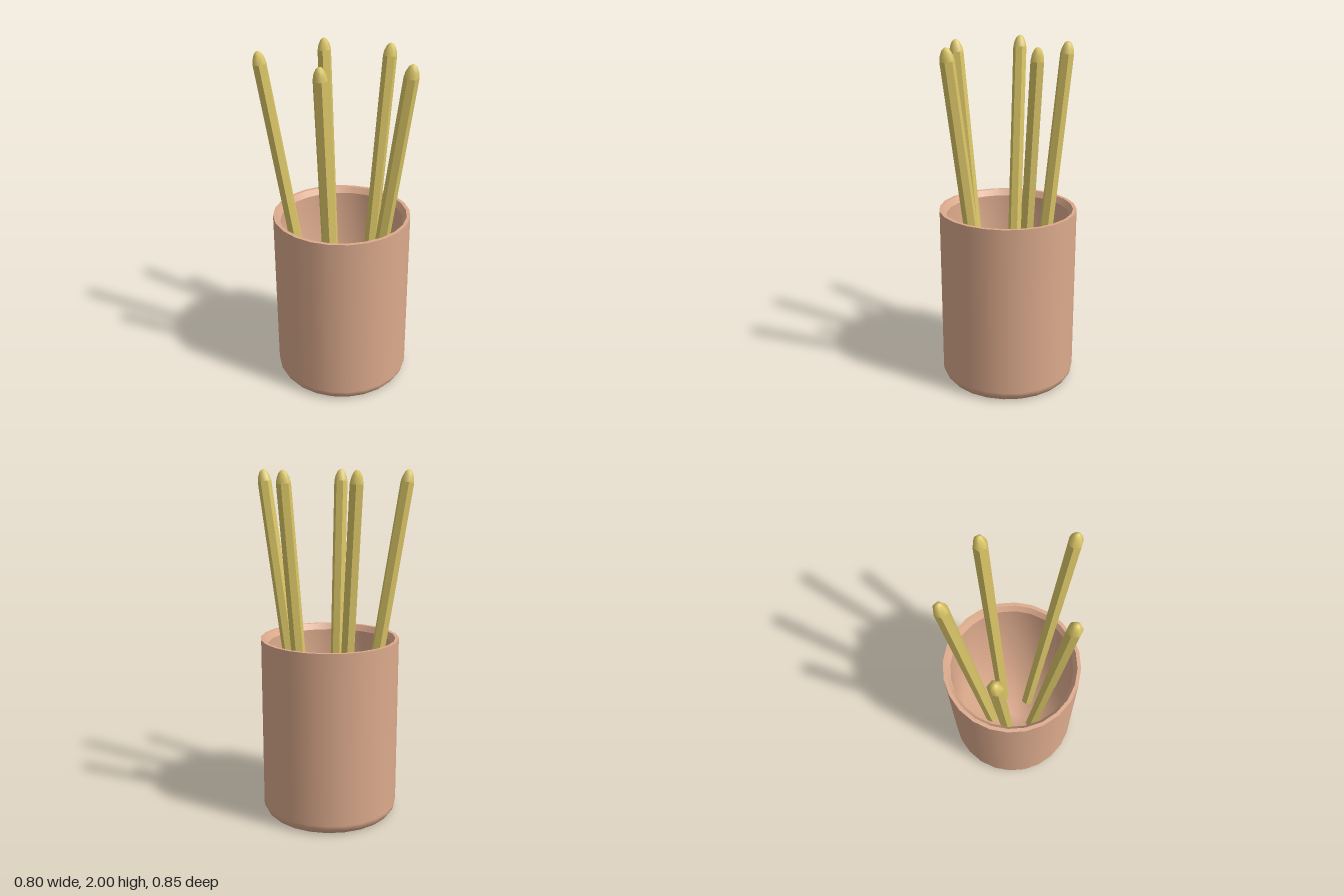
import * as THREE from 'three';

const clay = new THREE.MeshStandardMaterial({ color: 0xdcaa8c });
clay.name = 'clay';
const yellow = new THREE.MeshStandardMaterial({ color: 0xdcc768 });
yellow.name = 'yellow';

const CUP_Z = -0.03;
const FLOOR_Y = 0.07;
const BASE_R = 0.147; // distance of pencil feet from the cup axis

function lathe(name, profile, segments, material) {
  const points = profile.map(([r, y]) => new THREE.Vector2(r, y));
  const mesh = new THREE.Mesh(new THREE.LatheGeometry(points, segments), material);
  mesh.name = name;
  return mesh;
}

function createCup() {
  const cup = new THREE.Group();
  cup.name = 'cup';
  // Outer wall with a softened bottom edge
  cup.add(lathe('cupOuter', [
    [0, 0], [0.36, 0], [0.376, 0.004], [0.39, 0.022], [0.398, 0.04], [0.4, 0.055], [0.4, 1.055],
  ], 24, clay));
  // Flat lip and sloped inner edge
  cup.add(lathe('cupRim', [[0.4, 1.055], [0.379, 1.055]], 24, clay));
  cup.add(lathe('cupInnerEdge', [[0.379, 1.055], [0.358, 1.02]], 24, clay));
  // Hollow, smoothly shaded from wall to floor
  cup.add(lathe('cupInside', [[0.358, 1.02], [0.357, FLOOR_Y], [0, FLOOR_Y - 0.002]], 24, clay));
  return cup;
}

// Hexagonal pencil leaning outwards so that its point is tipR from the cup axis
function createPencil(angle, tipR) {
  const lean = new THREE.Group();
  const rise = 2 - FLOOR_Y, run = tipR - BASE_R;
  const length = Math.hypot(rise, run);
  const bodyLength = length - 0.07;

  const bodyGeometry = new THREE.CylinderGeometry(0.04, 0.04, bodyLength, 6).toNonIndexed();
  bodyGeometry.computeVertexNormals();
  const body = new THREE.Mesh(bodyGeometry, yellow);
  body.name = 'pencilBody';
  body.position.y = bodyLength / 2;

  const tip = lathe('pencilTip', [
    [0.04, 0], [0.034, 0.03], [0.022, 0.056], [0.01, 0.067], [0, 0.07],
  ], 6, yellow);
  tip.position.y = bodyLength;

  lean.add(body, tip);
  lean.position.set(BASE_R, FLOOR_Y, 0);
  lean.rotation.z = -Math.atan2(run, rise);

  const pencil = new THREE.Group();
  pencil.name = 'pencil';
  pencil.add(lean);
  pencil.rotation.y = -angle;
  return pencil;
}

export function createModel() {
  const model = new THREE.Group();
  model.name = 'pencilCup';
  model.add(createCup());
  // Five pencils around the cup, alternating slight and strong lean
  for (let i = 0; i < 5; i++) {
    model.add(createPencil((i * Math.PI * 2) / 5, i % 2 ? 0.446 : 0.336));
  }
  model.position.z = CUP_Z;
  const root = new THREE.Group();
  root.add(model);
  return root;
}
